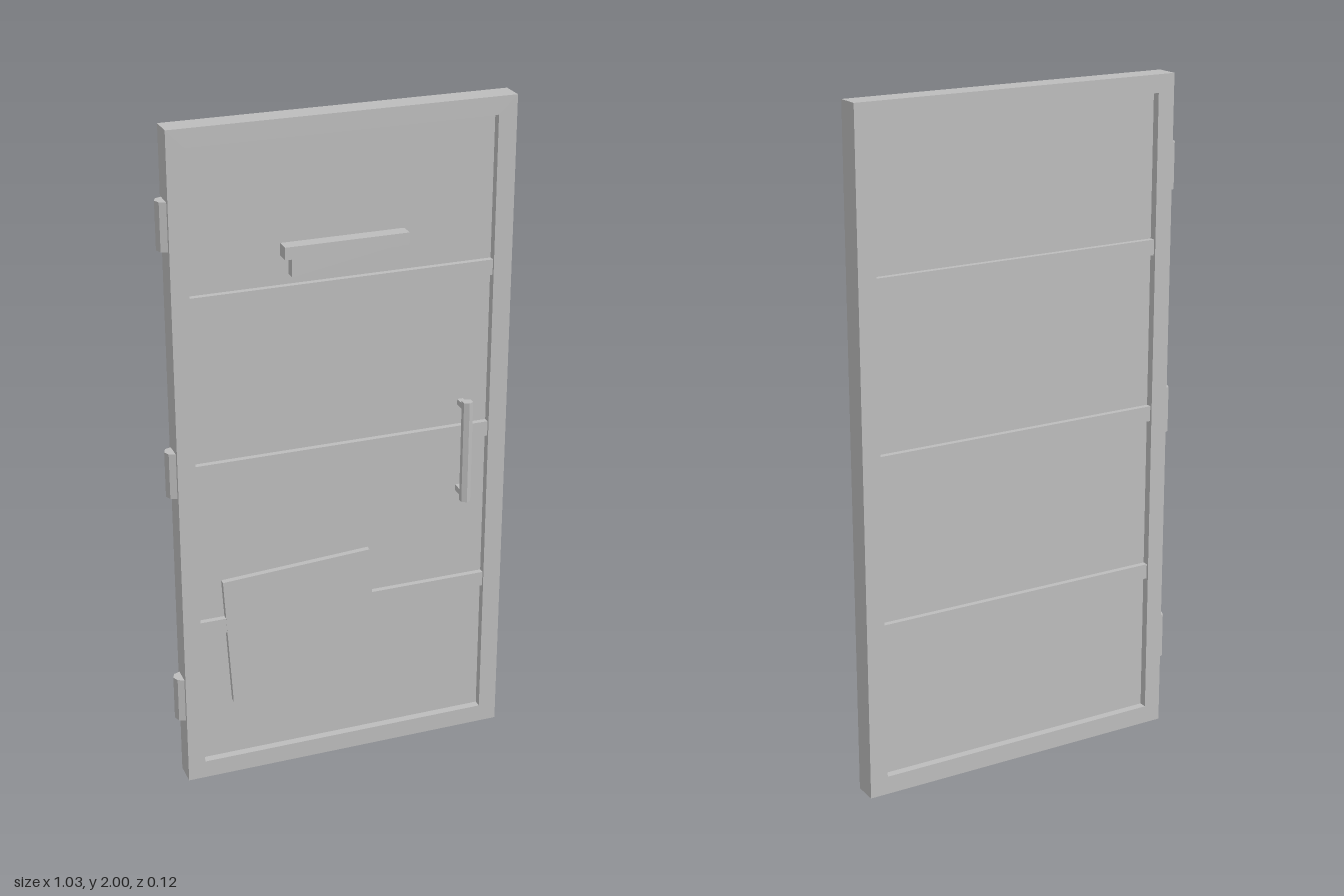
import * as THREE from 'three';

export function createModel() {
  const door = new THREE.Group();
  door.name = 'door';
  const grey = new THREE.MeshStandardMaterial({ color: 0xbcbcbc });
  grey.name = 'grey';

  const add = (name, geometry, x = 0, y = 0, z = 0) => {
    const mesh = new THREE.Mesh(geometry, grey);
    mesh.name = name;
    mesh.position.set(x, y, z);
    door.add(mesh);
    return mesh;
  };

  // Box given by its limits on each axis
  const box = (name, [x0, x1], [y0, y1], [z0, z1]) =>
    add(name, new THREE.BoxGeometry(x1 - x0, y1 - y0, z1 - z0),
      (x0 + x1) / 2, (y0 + y1) / 2, (z0 + z1) / 2);

  // Upright faceted cylinder
  const post = (name, radius, y0, y1, sides, x, z) => {
    const geometry = new THREE.CylinderGeometry(radius, radius, y1 - y0, sides).toNonIndexed();
    geometry.computeVertexNormals();
    return add(name, geometry, x, (y0 + y1) / 2, z);
  };

  // Outer frame with its opening
  const back = -0.06, front = 0.012;
  const rect = (path, x0, x1, y0, y1) =>
    path.moveTo(x0, y0).lineTo(x1, y0).lineTo(x1, y1).lineTo(x0, y1).closePath();
  const outline = new THREE.Shape();
  rect(outline, -0.487, 0.512, 0, 2);
  const opening = new THREE.Path();
  rect(opening, -0.435, 0.457, 0.055, 1.948);
  outline.holes.push(opening);
  add('frame', new THREE.ExtrudeGeometry(outline, { depth: front - back, bevelEnabled: false }), 0, 0, back);

  // Recessed panel and cross rails showing on both sides
  const panelFront = -0.012;
  box('panel', [-0.435, 0.457], [0.055, 1.948], [-0.036, panelFront]);
  for (const y of [0.503, 1.004, 1.505]) {
    box('crossRail', [-0.435, 0.457], [y - 0.023, y + 0.023], [-0.053, 0.005]);
  }

  // Letter slot: plate with a hood above it
  box('slotPlate', [-0.147, 0.17], [1.557, 1.613], [panelFront, 0.018]);
  box('slotHood', [-0.17, 0.192], [1.612, 1.648], [panelFront, 0.03]);

  // Tilted kick plate
  const plate = add('tiltedPlate', new THREE.BoxGeometry(0.453, 0.406, 0.018), -0.125, 0.456, -0.003);
  plate.rotation.z = 0.058;

  // Pull handle on two standoffs
  post('handleBar', 0.0165, 0.8, 1.117, 6, 0.375, 0.04);
  for (const y of [0.82, 1.096]) {
    box('handleStandoff', [0.366, 0.384], [y - 0.009, y + 0.009], [panelFront, 0.036]);
  }

  // Hinge barrels on the right edge
  for (const y of [0.205, 0.935, 1.665]) {
    post('hinge', 0.026, y, y + 0.138, 8, -0.487, -0.025);
  }

  return door;
}
